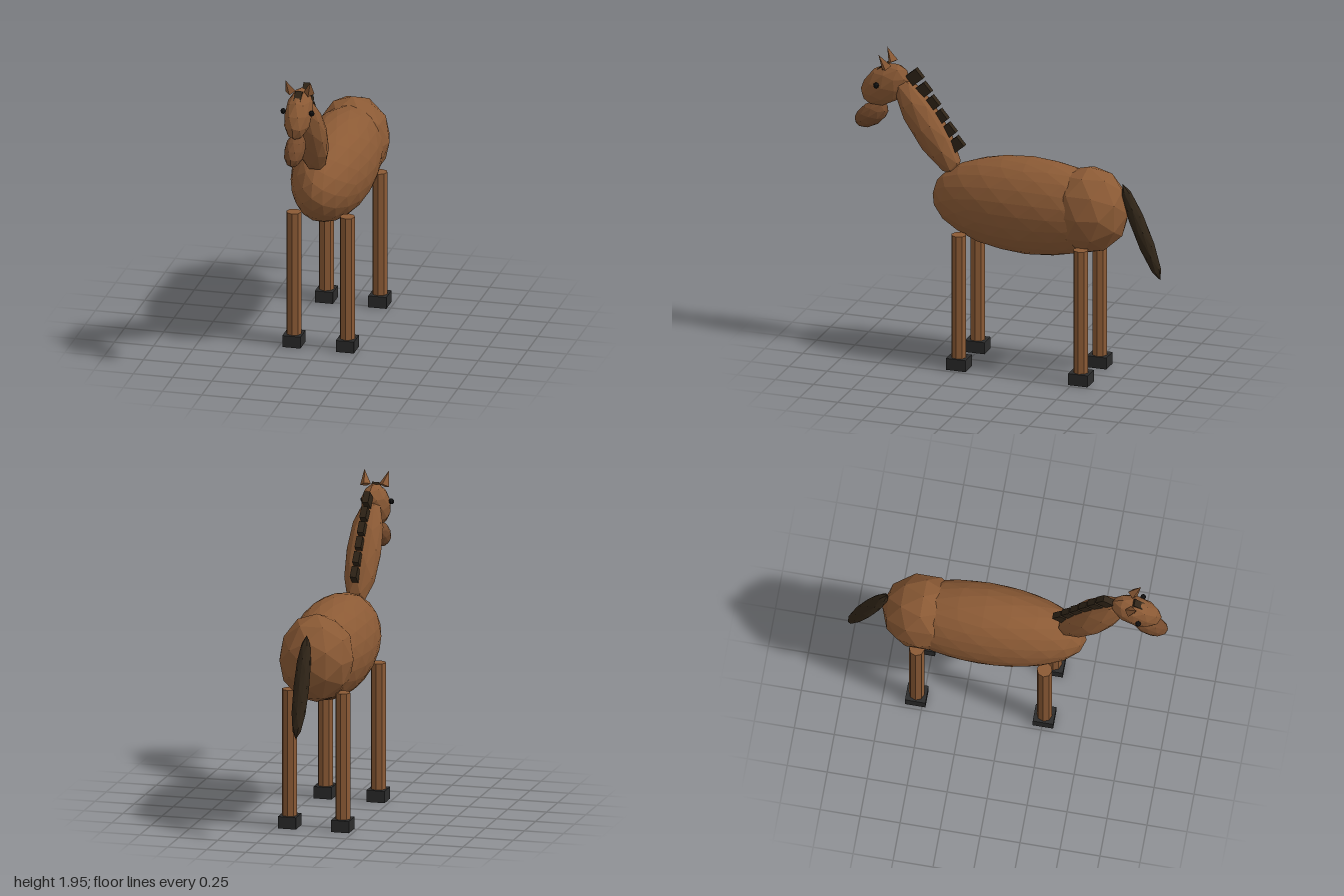
import * as THREE from 'three';

const material = (color) => new THREE.MeshStandardMaterial({ color, flatShading: true, roughness: 0.9 });

export function createModel() {
  const horse = new THREE.Group();
  horse.name = 'horse';
  const coat = material(0x8b5a35);
  const nose = material(0x744a2c);
  const hair = material(0x2f2417);
  const hoofMat = material(0x2b2b2b);
  const eyeMat = material(0x111111);

  const add = (name, geometry, mat, position, tilt = 0) => {
    const mesh = new THREE.Mesh(geometry, mat);
    mesh.name = name;
    mesh.position.set(...position);
    mesh.rotation.x = tilt;
    horse.add(mesh);
    return mesh;
  };

  // Faceted ellipsoid given by its three half sizes
  const blob = (name, radii, mat, position, tilt, detail = 1) =>
    add(name, new THREE.IcosahedronGeometry(1, detail).scale(...radii), mat, position, tilt);

  // Trunk, neck, head and tail
  blob('body', [0.245, 0.31, 0.635], coat, [0, 1.06, -0.145], 0, 3);
  blob('haunches', [0.235, 0.28, 0.26], coat, [0, 1.08, -0.53], 0);
  blob('neck', [0.11, 0.36, 0.11], coat, [0, 1.5, 0.525], 0.58);
  blob('head', [0.085, 0.12, 0.18], coat, [0, 1.735, 0.8], 0.66);
  blob('muzzle', [0.065, 0.073, 0.125], nose, [0, 1.53, 0.89], 0.6);
  blob('tail', [0.05, 0.325, 0.05], hair, [0, 0.975, -0.877], 0.39);

  // Mane tufts down the back of the neck
  for (let i = 0; i < 6; i++) {
    add('maneTuft', new THREE.BoxGeometry(0.04, 0.076, 0.085), hair,
      [0, 1.81 - 0.082 * i, 0.605 - 0.054 * i], 0.7);
  }
  add('forelock', new THREE.BoxGeometry(0.046, 0.03, 0.1), hair, [0, 1.838, 0.82], 0.68);

  for (const side of [1, -1]) {
    const label = side > 0 ? 'left' : 'right';

    // Eyes and ears
    add(label + 'Eye', new THREE.SphereGeometry(0.018, 8, 6), eyeMat, [0.09 * side, 1.755, 0.828]);
    const ear = add(label + 'Ear', new THREE.ConeGeometry(0.034, 0.1, 4), coat,
      [0.069 * side, 1.91, 0.793], 0.5);
    ear.rotation.z = -0.2 * side;

    // Legs and hooves
    for (const [end, z] of [['Front', 0.257], ['Back', -0.542]]) {
      add(label + end + 'Leg', new THREE.CylinderGeometry(0.048, 0.048, 0.81, 8), coat,
        [0.17 * side, 0.47, z]);
      add(label + end + 'Hoof', new THREE.BoxGeometry(0.115, 0.075, 0.128), hoofMat,
        [0.17 * side, 0.0375, z]);
    }
  }
  return horse;
}
